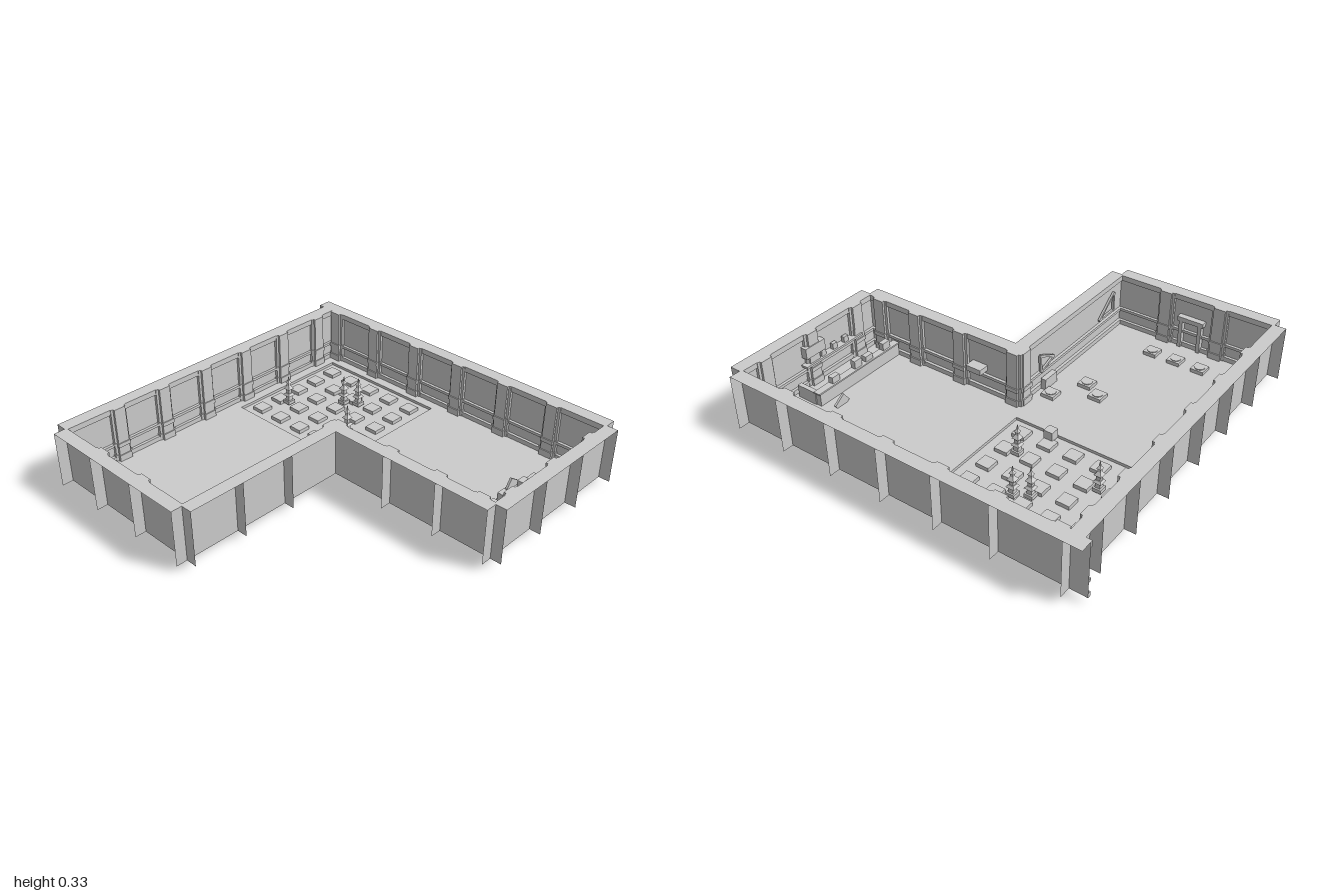
import * as THREE from 'three';

const grey = new THREE.MeshStandardMaterial({ color: 0xcccccc, flatShading: true, side: THREE.DoubleSide });
const FLOOR = 0.03, TOP = 0.33, H = TOP - FLOOR;

function add(parent, name, geometry, x = 0, y = 0, z = 0) {
  const mesh = new THREE.Mesh(geometry, grey);
  mesh.name = name;
  mesh.position.set(x, y, z);
  parent.add(mesh);
  return mesh;
}

// Box given by its ranges on each axis
function block(parent, name, x0, x1, y0, y1, z0, z1) {
  return add(parent, name, new THREE.BoxGeometry(x1 - x0, y1 - y0, z1 - z0),
    (x0 + x1) / 2, (y0 + y1) / 2, (z0 + z1) / 2);
}

const points = list => list.map(([x, z]) => new THREE.Vector2(x, z));

// Flat horizontal sheet outlined in x, z
function sheet(parent, name, outline, hole, y) {
  const shape = new THREE.Shape(points(outline));
  if (hole) shape.holes.push(new THREE.Path(points(hole)));
  add(parent, name, new THREE.ShapeGeometry(shape).rotateX(Math.PI / 2), 0, y, 0);
}

const rect = (x0, x1, z0, z1) => [[x0, z0], [x1, z0], [x1, z1], [x0, z1]];

// Tapered footprint of a pilaster, drawn up the wall
function pilasterGeometry(width, depth, height) {
  const a = width / 2, b = a * 0.72;
  const shape = new THREE.Shape(points([[-a, 0], [-a, -depth * 0.5], [-b, -depth * 0.6], [-b, -depth],
    [b, -depth], [b, -depth * 0.6], [a, -depth * 0.5], [a, 0]]));
  return new THREE.ExtrudeGeometry(shape, { depth: height, bevelEnabled: false }).rotateX(-Math.PI / 2);
}

// Wall running along local x, facing inward along local z, with fins outside
function wall(parent, name, x, z, turn, from, to, pillars, fins) {
  const g = new THREE.Group();
  g.name = name;
  g.position.set(x, 0, z);
  g.rotation.y = turn;
  parent.add(g);
  const mid = (from + to) / 2, len = to - from;
  add(g, 'wallPanel', new THREE.PlaneGeometry(len, H), mid, FLOOR + H / 2, 0);
  for (const [y0, y1, d] of [[0.03, 0.055, 0.016], [0.115, 0.13, 0.016], [0.3, 0.33, 0.012]])
    block(g, 'wallRail', from, to, y0, y1, 0, d);
  for (const u of pillars) {
    add(g, 'pilaster', pilasterGeometry(0.09, 0.03, H), u, FLOOR, 0);
    add(g, 'pilasterBase', pilasterGeometry(0.1, 0.036, 0.035), u, FLOOR, 0);
    add(g, 'pilasterBand', pilasterGeometry(0.1, 0.036, 0.022), u, 0.112, 0);
  }
  for (const u of fins)
    add(g, 'outerFin', new THREE.PlaneGeometry(0.06, H).rotateY(Math.PI / 2), u, FLOOR + H / 2, -0.03);
}

const series = (start, step, count) => Array.from({ length: count }, (_, i) => start + step * i);

// Triangular wall brace made of three bars, lying in the plane x = const
function brace(parent, x, corners) {
  const g = new THREE.Group();
  g.name = 'wallBrace';
  parent.add(g);
  corners.forEach(([y, z], i) => {
    const [y2, z2] = corners[(i + 1) % 3];
    const bar = add(g, 'braceBar', new THREE.BoxGeometry(0.012, 0.012, Math.hypot(y2 - y, z2 - z)),
      x, (y + y2) / 2, (z + z2) / 2);
    bar.rotation.x = -Math.atan2(y2 - y, z2 - z);
  });
}

// Four-sided tiered lantern
function lantern(parent, x, z) {
  const g = new THREE.Group();
  g.name = 'tieredLantern';
  g.position.set(x, 0.03, z);
  parent.add(g);
  const tiers = [[0.032, 0.032, 0, 0.02], [0.016, 0.02, 0.02, 0.03], [0.02, 0.032, 0.05, 0.012],
    [0.015, 0.015, 0.062, 0.028], [0.01, 0.028, 0.09, 0.018], [0.01, 0.012, 0.108, 0.017],
    [0.004, 0.018, 0.125, 0.015], [0.001, 0.006, 0.14, 0.025]];
  for (const [top, bottom, y, h] of tiers)
    add(g, 'lanternTier', new THREE.CylinderGeometry(top, bottom, h, 4).rotateY(Math.PI / 4), 0, y + h / 2, 0);
}

export function createModel() {
  const model = new THREE.Group();
  model.name = 'courtyardRoom';

  // Floor with a sunken square, and the flat rim capping the walls
  const pit = rect(-0.84, -0.08, -0.85, -0.13);
  sheet(model, 'floor', [[-0.91, -0.92], [0.94, -0.92], [0.94, -0.03], [-0.02, -0.03], [-0.02, 0.92], [-0.91, 0.92]],
    pit, FLOOR);
  sheet(model, 'wallRim', [[-1, -0.98], [0.94, -0.98], [0.94, -0.92], [1, -0.92], [1, -0.03], [0.94, -0.03],
    [0.94, 0.03], [0.04, 0.03], [0.04, 0.92], [-0.02, 0.92], [-0.02, 0.98], [-0.91, 0.98], [-0.91, 0.92],
    [-0.97, 0.92], [-0.97, -0.92], [-1, -0.92]],
  [[-0.9, -0.91], [0.93, -0.91], [0.93, -0.04], [-0.03, -0.04], [-0.03, 0.91], [-0.9, 0.91]], TOP);

  // Walls
  const Q = Math.PI / 2;
  const backX = series(-0.56, 0.3, 5), leftU = series(-0.62, 0.28, 6);
  wall(model, 'backWall', 0, -0.92, 0, -1, 0.94, [-0.86, ...backX], [-0.91, ...backX, 0.94]);
  wall(model, 'leftSideWall', -0.91, 0, Q, -0.92, 0.92, leftU, [-0.92, ...leftU, 0.92]);
  wall(model, 'rightSideWall', 0.94, 0, -Q, -0.92, -0.03, [-0.78, -0.48, -0.16], [-0.92, -0.62, -0.33, -0.03]);
  wall(model, 'frontWall', 0, 0.92, 2 * Q, 0.02, 0.91, [0.31, 0.62], [0.02, 0.32, 0.62, 0.91]);
  wall(model, 'wingFrontWall', 0, -0.03, 2 * Q, -0.94, 0.02, [-0.86, -0.62, -0.33, 0], [-0.94, -0.65, -0.34]);
  wall(model, 'innerSideWall', -0.02, 0, -Q, -0.03, 0.92, [0.0], [0.32, 0.62, 0.92]);

  // Sunken square: tray, sides and raised paving
  sheet(model, 'pitTray', pit, null, 0.015);
  for (const x of [-0.84, -0.08])
    add(model, 'pitSide', new THREE.PlaneGeometry(0.72, 0.015).rotateY(Q), x, 0.0225, -0.49);
  for (const z of [-0.85, -0.13])
    add(model, 'pitSide', new THREE.PlaneGeometry(0.76, 0.015), -0.46, 0.0225, z);
  for (const x of series(-0.76, 0.147, 5))
    for (const z of series(-0.765, 0.138, 5))
      block(model, 'pavingTile', x - 0.036, x + 0.036, 0.015, 0.035, z - 0.036, z + 0.036);

  for (const [x, z] of [[-0.47, -0.56], [-0.4, -0.6], [-0.69, -0.35], [-0.245, -0.35]]) lantern(model, x, z);

  // Low floor plinths with round tops
  for (const [x, z] of [[-0.11, 0.12], [-0.31, 0.24], [-0.21, 0.3], [-0.61, 0.75], [-0.47, 0.75], [-0.33, 0.75]]) {
    block(model, 'plinth', x - 0.036, x + 0.036, FLOOR, 0.05, z - 0.036, z + 0.036);
    add(model, 'plinthDisc', new THREE.CylinderGeometry(0.028, 0.028, 0.004, 12), x, 0.052, z);
  }
  block(model, 'crate', -0.33, -0.28, FLOOR, 0.08, -0.19, -0.14);

  // Doorway on the front wall
  for (const x of [-0.53, -0.42]) block(model, 'doorPost', x, x + 0.02, FLOOR, 0.19, 0.89, 0.92);
  block(model, 'doorLintel', -0.54, -0.39, 0.19, 0.215, 0.885, 0.92);

  // Fittings on the inner walls
  block(model, 'wallShelf', 0.17, 0.26, 0.15, 0.18, -0.09, -0.03);
  brace(model, -0.035, [[0.13, 0.14], [0.23, 0.13], [0.17, 0.25]]);
  brace(model, -0.035, [[0.16, 0.68], [0.27, 0.82], [0.16, 0.82]]);
  block(model, 'braceFoot', -0.065, -0.035, FLOOR, 0.09, 0.14, 0.24);

  // Counter with items along its top, and a shelf behind it
  block(model, 'counterFront', 0.75, 0.78, FLOOR, 0.1, -0.62, -0.045);
  block(model, 'counterEnd', 0.78, 0.9, FLOOR, 0.1, -0.625, -0.6);
  block(model, 'counterTop', 0.745, 0.785, 0.1, 0.108, -0.63, -0.045);
  for (const [z, h] of [[-0.5, 0.035], [-0.34, 0.045], [-0.26, 0.03], [-0.13, 0.04]])
    block(model, 'counterItem', 0.755, 0.785, 0.108, 0.108 + h, z - 0.025, z + 0.025);
  block(model, 'backShelf', 0.9, 0.94, 0.15, 0.162, -0.55, -0.15);
  for (const z of series(-0.5, 0.08, 5))
    block(model, 'shelfItem', 0.91, 0.93, 0.162, 0.195, z - 0.015, z + 0.015);
  block(model, 'wallCabinet', 0.905, 0.94, 0.2, 0.26, -0.54, -0.41);

  // Thin panel leaning through the floor
  const panel = add(model, 'leaningPanel', new THREE.BoxGeometry(0.012, 0.06, 0.075), 0.68, 0.044, -0.55);
  panel.rotation.x = -0.6;

  return model;
}
